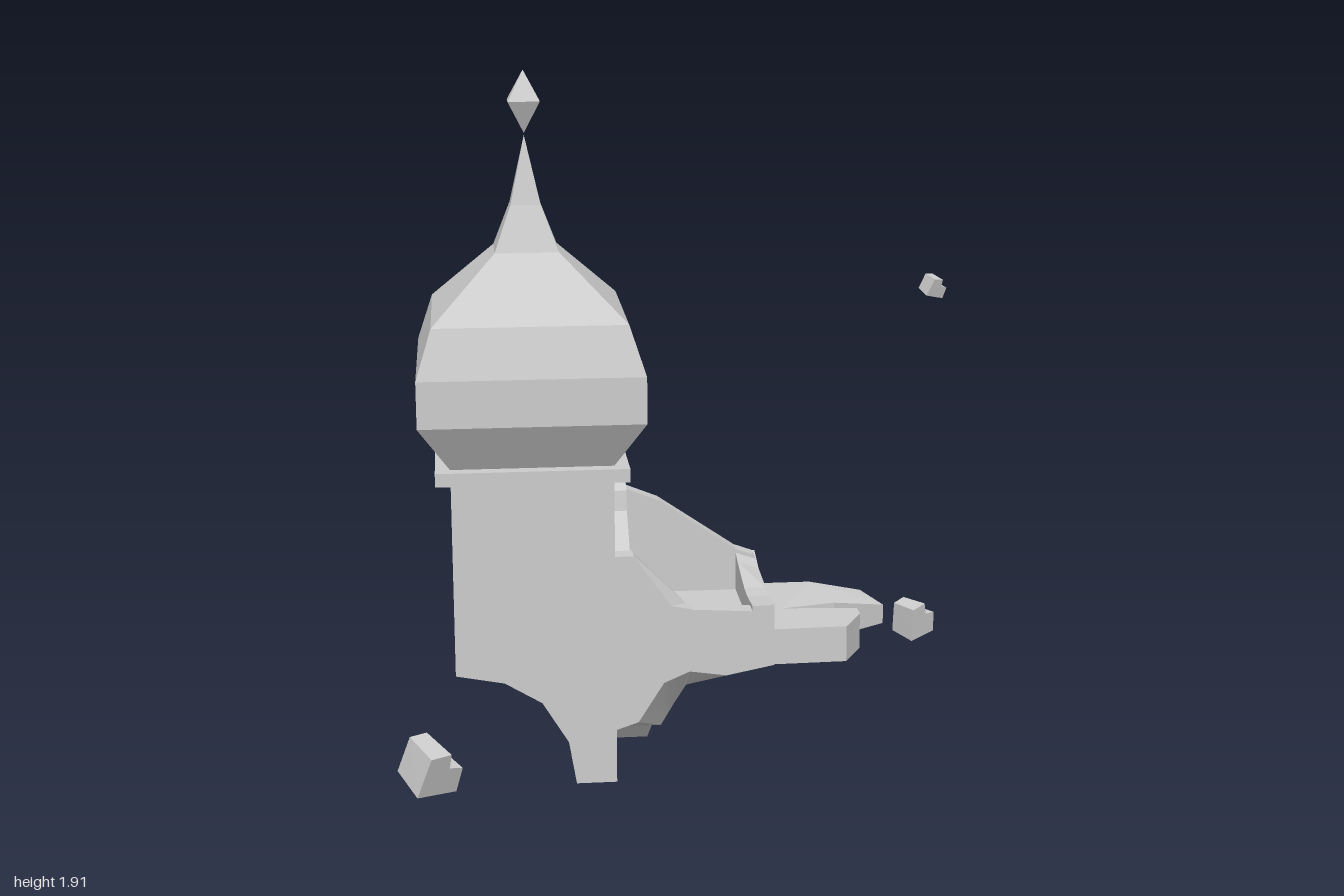
import * as THREE from 'three';
import { toCreasedNormals } from 'three/addons/utils/BufferGeometryUtils.js';

const CX = -0.445, CZ = -0.275;
const flat = new THREE.MeshStandardMaterial({ color: 0xcccccc, flatShading: true });
const smooth = new THREE.MeshStandardMaterial({ color: 0xcccccc });

// Solid through outlines [x, y] (counter-clockwise) placed at falling z
function loft(rings, zs) {
  const n = rings[0].length, pos = [], idx = [];
  rings.forEach((ring, i) => ring.forEach(([x, y]) => pos.push(x, y, zs[i])));
  for (let i = 0; i < rings.length - 1; i++) {
    for (let j = 0; j < n; j++) {
      const a = i * n + j, b = i * n + (j + 1) % n;
      idx.push(a, a + n, b, b, a + n, b + n);
    }
  }
  const cap = (ring) => THREE.ShapeUtils.triangulateShape(ring.map((p) => new THREE.Vector2(...p)), []);
  const last = (rings.length - 1) * n;
  cap(rings[0]).forEach(([a, b, c]) => idx.push(a, b, c));
  cap(rings[rings.length - 1]).forEach(([a, b, c]) => idx.push(last + a, last + c, last + b));
  const g = new THREE.BufferGeometry();
  g.setAttribute('position', new THREE.Float32BufferAttribute(pos, 3));
  g.setIndex(idx);
  g.computeVertexNormals();
  return g;
}

// Four-sided turned form from [half width, y] points
function squareLathe(profile) {
  const pts = profile.map(([h, y]) => new THREE.Vector2(h * Math.SQRT2, y));
  return new THREE.LatheGeometry(pts, 4).rotateY(Math.PI / 4).translate(CX, 0, CZ);
}

// Tower body and half arches; the leg points change from slice to slice
function bodyRing(leg) {
  return [
    ...leg, [0.07, 0.295], [0.2, 0.32], [0.2, 0.42], [-0.23, 0.42], [-0.23, 0.86],
    [-0.66, 0.86], [-0.66, 0.32], [-0.53, 0.295], [-0.43, 0.235], [-0.36, 0.12],
  ];
}

export function createModel() {
  const model = new THREE.Group();
  const add = (name, geometry, material = flat) => {
    const mesh = new THREE.Mesh(geometry, material);
    mesh.name = name;
    model.add(mesh);
    return mesh;
  };

  // Body: broken front leg, notch between the legs, whole back leg
  const arch = [[-0.1, 0.12], [-0.065, 0.18], [-0.03, 0.235]];
  const backLeg = [[-0.34, 0], [-0.23, 0], [-0.12, 0], ...arch];
  const body = loft([
    bodyRing([[-0.34, 0], [-0.23, 0], [-0.23, 0.15], [-0.17, 0.17], [-0.1, 0.28], [-0.03, 0.31]]),
    bodyRing([[-0.34, 0], [-0.23, 0], [-0.23, 0.12], ...arch]),
    bodyRing([[-0.355, 0.119], [-0.23, 0.12], [-0.17, 0.12], ...arch]),
    bodyRing(backLeg),
    bodyRing(backLeg),
  ], [-0.06, -0.165, -0.275, -0.39, -0.485]);
  add('towerBody', toCreasedNormals(body, 0.55), smooth);

  // Cornice, onion roof and finial
  add('cornice', new THREE.BoxGeometry(0.51, 0.036, 0.51).translate(CX, 0.873, CZ));
  add('onionRoof', squareLathe([
    [0, 0.89], [0.215, 0.89], [0.297, 1.02], [0.297, 1.145], [0.255, 1.275],
    [0.085, 1.44], [0.04, 1.56], [0, 1.74],
  ]));
  add('finial', squareLathe([[0, 1.745], [0.042, 1.83], [0, 1.91]]));

  // Broken bridge deck with a forked end, its tip sloping down
  const fork = new THREE.Shape([
    [0.19, 0.065], [0.4, 0.07], [0.455, 0.175], [0.455, 0.225], [0.25, 0.245],
    [0.4, 0.28], [0.56, 0.385], [0.51, 0.485], [0.36, 0.485], [0.19, 0.485],
  ].map((p) => new THREE.Vector2(...p)));
  const deck = new THREE.ExtrudeGeometry(fork, { depth: 0.1, bevelEnabled: false });
  deck.rotateX(-Math.PI / 2).translate(0, 0.32, 0);
  const p = deck.attributes.position;
  for (let i = 0; i < p.count; i++) {
    if (p.getY(i) > 0.4 && p.getX(i) > 0.46) p.setY(i, p.getX(i) > 0.53 ? 0.375 : 0.39);
  }
  add('bridgeDeck', deck);

  // Ruined room walls on the bridge; the front wall breaks at a slant
  const frontRing = (x) => [
    [-0.23, 0.4], [0.2, 0.4], [0.2, 0.495], [0.14, 0.475], [-0.02, 0.485],
    [x, x < -0.05 ? 0.498 : 0.487], [-0.18, 0.64], [-0.23, 0.64],
  ];
  add('frontWall', loft([frontRing(-0.08), frontRing(-0.035)], [-0.06, -0.115]));
  const backRing = [
    [-0.23, 0.4], [0.2, 0.4], [0.2, 0.505], [0.19, 0.522], [0.14, 0.54],
    [-0.08, 0.69], [-0.18, 0.73], [-0.23, 0.73],
  ];
  add('backWall', loft([backRing, backRing], [-0.435, -0.485]));

  // Cross walls, outlined in depth and height then turned to face the side
  const crossWall = (name, outer, inner, x0, x1) =>
    add(name, loft([outer, inner], [x1, x0]).rotateY(Math.PI / 2));
  const endRing = (lift) => [
    [0.06, 0.4], [0.485, 0.4], [0.485, 0.52], [0.44, 0.51 + lift], [0.39, 0.495 + lift],
    [0.24, 0.485], [0.17, 0.482], [0.06, 0.49],
  ];
  crossWall('endWall', endRing(0), endRing(0.02), 0.14, 0.2);
  const towerSide = [
    [0.06, 0.4], [0.485, 0.4], [0.485, 0.845], [0.43, 0.835], [0.31, 0.755],
    [0.3, 0.7], [0.18, 0.602], [0.11, 0.64], [0.06, 0.64],
  ];
  crossWall('towerSideWall', towerSide, towerSide, -0.235, -0.18);

  // Floating rubble: notched, slightly tapered blocks
  const chunk = [[-0.5, -0.5], [0.5, -0.5], [0.5, 0.1], [0.15, 0.15], [0.1, 0.5], [-0.4, 0.45]];
  const taper = chunk.map(([x, y]) => [x * 0.85, y * 0.9]);
  const rubble = [
    [-0.715, 0.47, 0.93, 0.105, 0.105, 0.1, 0.35, 0.55, -0.3],
    [0.725, 0.21, -0.77, 0.1, 0.105, 0.085, 0.1, 0.65, 0.06],
    [0.737, 1.257, -0.637, 0.06, 0.055, 0.05, 0.3, 0.4, -0.35],
    [-0.097, 0.435, -0.935, 0.115, 0.1, 0.1, -0.45, 0.35, 0.1],
  ];
  rubble.forEach(([x, y, z, w, h, d, rx, ry, rz], i) => {
    const mesh = add(`rubble${i + 1}`, loft([chunk, taper], [0.5, -0.5]));
    mesh.position.set(x, y, z);
    mesh.scale.set(w, h, d);
    mesh.rotation.set(rx, ry, rz);
  });
  return model;
}
